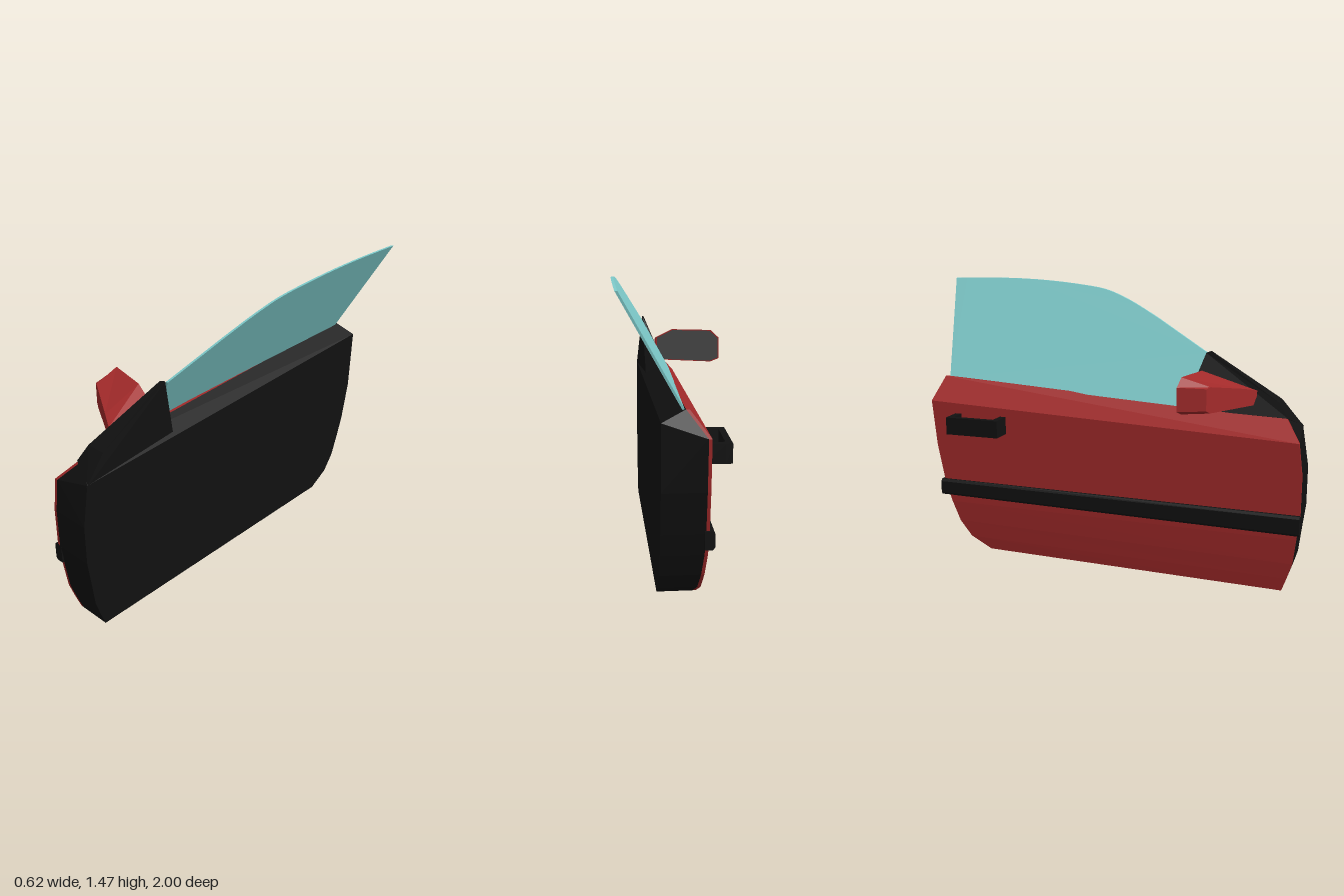
import * as THREE from 'three';

const paint = (color) => new THREE.MeshStandardMaterial({ color, side: THREE.DoubleSide });
const RED = paint(0xa32a2a), BLACK = paint(0x111111), GLASS = paint(0x7fcccc), MIRROR = paint(0x4a4a4a);

// Triangles of a cap, zigzagging between opposite ends of a loop
function capTriangles(loop) {
  const tris = [], n = loop.length;
  for (let i = 0, j = n - 1; i < j - 1; i++, j--) {
    tris.push([loop[i], loop[i + 1], loop[j]]);
    if (i + 1 < j - 1) tris.push([loop[i + 1], loop[j - 1], loop[j]]);
  }
  return tris;
}

// Flat-faced geometry from triangles
function facets(tris) {
  const geo = new THREE.BufferGeometry();
  geo.setAttribute('position', new THREE.Float32BufferAttribute(tris.flat(2), 3));
  geo.computeVertexNormals();
  return geo;
}

// Closed solid between two matching loops of [x, y, z] points, wound outwards
function solid(a, b) {
  const n = a.length, tris = [...capTriangles(a), ...capTriangles(b).map((t) => [...t].reverse())];
  for (let i = 0; i < n; i++) {
    const k = (i + 1) % n;
    tris.push([a[i], b[i], b[k]], [a[i], b[k], a[k]]);
  }
  const v = (p) => new THREE.Vector3(...p);
  let volume = 0;
  for (const [p, q, r] of tris) volume += v(p).dot(v(q).cross(v(r)));
  return facets(volume < 0 ? tris.map((t) => [...t].reverse()) : tris);
}

// Door levels: front z, front y, rear z, rear y, outer x
const LEVELS = [
  [0.92, 0.0, -0.66, 0.03, -0.06],
  [0.945, 0.07, -0.77, 0.095, -0.07],
  [0.97, 0.15, -0.83, 0.18, -0.08],
  [0.985, 0.28, -0.87, 0.29, -0.09],
  [1.0, 0.4, -0.905, 0.4, -0.092],
  [1.0, 0.6, -0.945, 0.6, -0.092],
  [0.98, 0.76, -0.97, 0.84, -0.092],
  [0.9, 0.865, -0.93, 0.96, 0.0],
];
const SKIN = 0.015, INNER = 0.122;
const glassX = (y) => 0.01 + 0.55 * (y - 0.93);

export function createModel() {
  const group = new THREE.Group();
  const add = (name, geo, mat, parent = group) => {
    const mesh = new THREE.Mesh(geo, mat);
    mesh.name = name;
    parent.add(mesh);
    return mesh;
  };
  const ends = (rows) => [
    rows.map(([zf, yf, , , x]) => [x, yf, zf]),
    rows.map(([, , zr, yr, x]) => [x, yr, zr]),
  ];

  // Painted outer skin with its sloping shoulder
  const shifted = LEVELS.map((r) => [...r.slice(0, 4), r[4] + SKIN]);
  add('outerSkin', solid(...ends([...LEVELS, ...shifted.slice().reverse()])), RED);

  // Inner body, sloping from the ridge to a crease on the cabin side
  const inner = LEVELS.slice(0, -1).map((r) => [...r.slice(0, 4), INNER]);
  inner[inner.length - 1] = [0.965, 0.81, -0.96, 0.91, INNER];
  add('innerPanel', solid(...ends([...shifted, ...inner.reverse()])), BLACK);

  // Rubbing strip
  const strip = (z, lo, hi) => [
    [-0.07, lo, z], [-0.105, lo, z], [-0.115, lo + 0.012, z],
    [-0.115, hi - 0.012, z], [-0.105, hi, z], [-0.07, hi, z],
  ];
  add('rubbingStrip', solid(strip(1.0, 0.305, 0.405), strip(-0.92, 0.33, 0.415)), BLACK);

  // Pull handle: a bar on two posts
  const handle = new THREE.Group();
  handle.name = 'handle';
  group.add(handle);
  add('handleBar', new THREE.BoxGeometry(0.03, 0.09, 0.29), BLACK, handle).position.set(-0.185, 0.735, -0.685);
  for (const z of [-0.813, -0.557]) {
    add('handlePost', new THREE.BoxGeometry(0.1, 0.09, 0.034), BLACK, handle).position.set(-0.125, 0.735, z);
  }

  // Wedge in the corner ahead of the window
  add('cornerWedge', solid(
    [[-0.01, 0.875, 0.39], [0.107, 1.14, 0.475], [0.107, 1.15, 0.5], [0.015, 0.93, 0.86], [-0.01, 0.86, 0.91]],
    [[0.1, 0.84, 0.42], [0.115, 1.14, 0.475], [0.115, 1.15, 0.5], [0.115, 0.93, 0.86], [INNER, 0.8, 0.97]],
  ), BLACK);

  // Leaning window pane
  const pane = new THREE.Shape();
  pane.moveTo(-0.39, 0.885);
  pane.lineTo(-0.475, 1.14);
  pane.lineTo(-0.2, 1.29);
  pane.splineThru([[-0.08, 1.35], [0, 1.385], [0.1, 1.42], [0.22, 1.44], [0.45, 1.46], [0.7, 1.467], [1, 1.46]]
    .map((p) => new THREE.Vector2(...p)));
  pane.lineTo(0.912, 0.95);
  const paneGeo = new THREE.ExtrudeGeometry(pane, { depth: 0.012, bevelEnabled: false, curveSegments: 3 });
  const pos = paneGeo.attributes.position;
  for (let i = 0; i < pos.count; i++) {
    const u = pos.getX(i), y = pos.getY(i), w = pos.getZ(i);
    pos.setXYZ(i, w - 0.006 + glassX(y), y, -u);
  }
  paneGeo.computeVertexNormals();
  add('window', paneGeo, GLASS);

  // Wing mirror housing, tapering forwards, with a reflector at its rear
  const mirror = new THREE.Group();
  mirror.name = 'wingMirror';
  group.add(mirror);
  const rear = [[-0.305, 0.92], [-0.305, 1.035], [-0.26, 1.077], [-0.05, 1.077], [0.04, 1.03], [0.04, 0.905], [-0.26, 0.9]];
  const front = [[-0.272, 0.925], [-0.272, 1.03], [-0.25, 1.037], [-0.05, 1.0], [0.03, 0.98], [0.03, 0.91], [-0.25, 0.912]];
  const rearZ = (x) => 0.435 + (x + 0.305) * 0.22;
  add('mirrorHousing', solid(
    rear.map(([x, y]) => [x, y, rearZ(x)]),
    front.map(([x, y]) => [x, y, 0.57 + (x + 0.27) * 0.6]),
  ), RED, mirror);
  const glassLoop = rear.map(([x, y]) => {
    const gx = -0.135 + (x + 0.135) * 0.96;
    return [gx, 0.985 + (y - 0.985) * 0.95, rearZ(gx) - 0.003];
  });
  add('mirrorReflector', facets(capTriangles(glassLoop)), MIRROR, mirror);

  return group;
}
